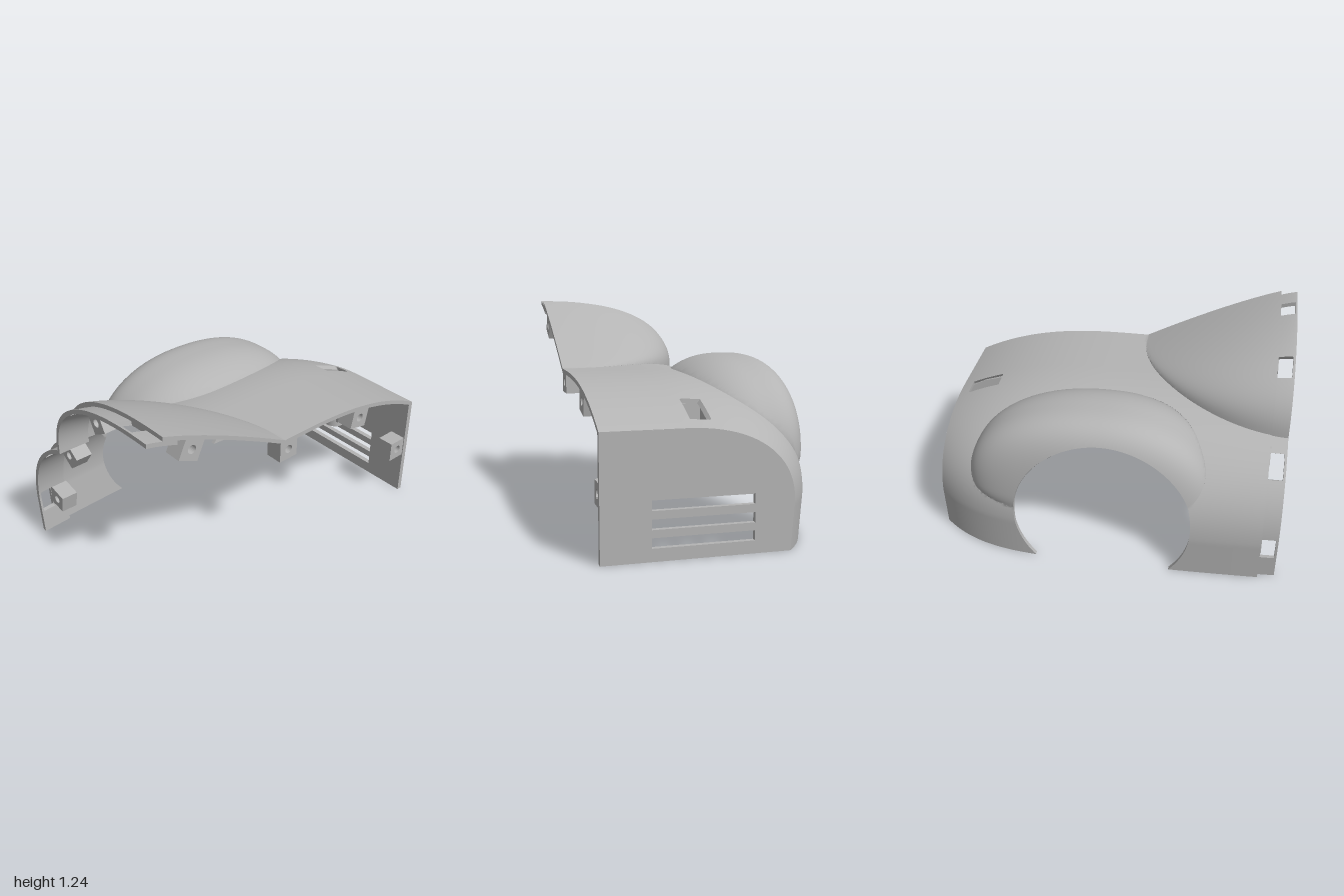
import * as THREE from 'three';
import { toCreasedNormals } from 'three/addons/utils/BufferGeometryUtils.js';

const DEG = Math.PI / 180, FRONT = 0.62, SKIN = 0.025;
const grey = new THREE.MeshStandardMaterial({ color: 0xb4b4b4, side: THREE.DoubleSide });
grey.name = 'light grey';
const pos = (v) => Math.max(0, v);

// Implicit solids (negative inside) whose union is the body.
function bodyField(x, y, z) {
  const top = x > 0 ? 0.86 - 0.2 * x ** 2.65 : 0.86 - 0.01 * x * x;
  let back = x > 0 ? 0.615 - 0.22 * x ** 4 : 0.615 - 0.03 * x * x;
  back -= 0.08 * pos(0.25 - y);
  return pos((0.2 - z) / (back + 0.2)) ** 2.3 + pos((y - 0.25) / (top - 0.25)) ** 2.3 - 1;
}
function hoodField(x, y, z) {
  const u = (x + 1) / 0.92, c = Math.min(pos(u), 0.999);
  const foot = 0.78 + 0.07 * c;
  const rise = Math.max(0.01, 0.85 + 0.41 * (1 - c ** 1.22) - foot);
  const length = 0.87 * Math.sqrt(1 - c * c);
  return pos((FRONT - z) / length) ** 2.4 + pos((y - foot) / rise) ** 2.4 - 1 + 1000 * pos(u - 1);
}
function fenderField(x, y, z) {
  const ahead = z > -0.33, e = ahead ? 2.2 : 3.5;
  const xn = Math.abs(x - 0.03) / (x > 0.03 ? 0.77 : 0.645);
  const yn = Math.abs(y - 0.45) / (y > 0.45 ? 0.49 : 0.25);
  const zn = Math.abs(z + 0.33) / (ahead ? 0.45 : 0.295);
  return ((xn ** 2.2 + yn ** 2.2) ** (e / 2.2) + zn ** e) ** (1 / e) - 1;
}
const solids = [bodyField, hoodField, fenderField];

// Point at angle t and radius r around the front bottom edge.
const place = (x, t, r) => [x, r * Math.sin(t), FRONT - r * Math.cos(t)];

// Outermost radius of a solid along a ray (nearest approach when missed).
function reach(field, x, t) {
  const at = (r) => field(...place(x, t, r));
  let best = 1e9, bestR = 0.3;
  for (let r = 1.6; r > 0.3; r -= 0.012) {
    const f = at(r);
    if (f < 0) {
      let lo = r, hi = r + 0.012;
      for (let k = 0; k < 18; k++) {
        const m = (lo + hi) / 2;
        if (at(m) < 0) lo = m; else hi = m;
      }
      return { r: lo, f: 0 };
    }
    if (f < best) { best = f; bestR = r; }
  }
  return { r: bestR, f: best };
}

// Cuts a polygon, keeping the side where value k is positive.
function clip(poly, k) {
  const out = [];
  poly.forEach((a, i) => {
    const b = poly[(i + 1) % poly.length], fa = a[k], fb = b[k];
    if (fa >= 0) out.push(a);
    if ((fa >= 0) !== (fb >= 0)) {
      const s = fa / (fa - fb);
      out.push(a.map((v, n) => v + (b[n] - v) * s));
    }
  });
  return out;
}

// Thick skin over the union of solids, trimmed by hole functions.
function shell(x0, x1, nx, nt, inset, holes) {
  const data = [], edges = new Map();
  const outer = (v) => place(v[0], v[1], v[2] - inset);
  const inner = (v) => place(v[0], v[1], v[2] - inset - SKIN);
  const key = (v) => outer(v).map((n) => Math.round(n * 1e5)).join();
  const tri = (...p) => p.forEach((q) => data.push(...q));
  solids.forEach((field, s) => {
    const others = solids.filter((_, n) => n !== s);
    const grid = [];
    for (let i = 0; i <= nx; i++) for (let j = 0; j <= nt; j++) {
      const x = x0 + (x1 - x0) * i / nx, t = Math.PI / 2 * j / nt;
      const { r, f } = reach(field, x, t), p = place(x, t, r);
      const v = [x, t, r, ...others.map((g) => g(...p)), ...holes.map((h) => h(...p, t))];
      v.miss = f > 0.02;
      grid.push(v);
    }
    const face = (...corners) => {
      if (corners.some((v) => v.miss)) return;
      let poly = corners;
      for (let k = 3; k < corners[0].length && poly.length; k++) poly = clip(poly, k);
      for (let n = 1; n + 1 < poly.length; n++) {
        const [a, b, c] = [poly[0], poly[n], poly[n + 1]];
        tri(outer(a), outer(b), outer(c));
        tri(inner(a), inner(c), inner(b));
      }
      poly.forEach((a, n) => {
        const b = poly[(n + 1) % poly.length], ka = key(a), kb = key(b);
        if (ka === kb) return;
        if (!edges.delete(kb + '|' + ka)) edges.set(ka + '|' + kb, [a, b]);
      });
    };
    for (let i = 0; i < nx; i++) for (let j = 0; j < nt; j++) {
      const a = grid[i * (nt + 1) + j], b = grid[i * (nt + 1) + j + 1];
      const c = grid[(i + 1) * (nt + 1) + j], d = grid[(i + 1) * (nt + 1) + j + 1];
      face(a, b, c);
      face(b, d, c);
    }
  });
  // Rim walls along every open edge.
  for (const [a, b] of edges.values()) {
    tri(outer(b), outer(a), inner(a));
    tri(outer(b), inner(a), inner(b));
  }
  const geo = new THREE.BufferGeometry();
  geo.setAttribute('position', new THREE.Float32BufferAttribute(data, 3));
  return toCreasedNormals(geo, 0.55);
}

const rectPath = (x0, y0, x1, y1, Kind = THREE.Path) => new Kind(
  [[x0, y0], [x1, y0], [x1, y1], [x0, y1]].map((p) => new THREE.Vector2(...p)));

// Square block with a screw hole through its depth.
function drilledBlock(w, h, depth, radius) {
  const shape = rectPath(-w / 2, -h / 2, w / 2, h / 2, THREE.Shape);
  shape.holes.push(new THREE.Path().absarc(0, 0, radius, 0, Math.PI * 2, true));
  return new THREE.ExtrudeGeometry(shape, { depth, bevelEnabled: false, curveSegments: 12 });
}

export function createModel() {
  const model = new THREE.Group();
  const add = (name, geo, x = 0, y = 0, z = 0) => {
    const mesh = new THREE.Mesh(geo, grey);
    mesh.name = name;
    mesh.position.set(x, y, z);
    model.add(mesh);
    return mesh;
  };

  // Main skin with wheel opening and pocket opening
  const wheelHole = (x, y) => x * x + (y - 0.32) ** 2 - 0.507 ** 2;
  const pocketHole = (x, y, z) => Math.max(Math.abs(x - 0.835) - 0.098, Math.abs(z - 0.09) - 0.056);
  add('bodyShell', shell(-0.905, 0.999, 160, 120, 0, [wheelHole, pocketHole]));

  // Stepped joining flange with slots
  const slots = [[7, 13.5], [30, 37], [56, 62], [78, 84]].map(([a, b]) => (x, y, z, t) =>
    Math.max(Math.abs(x + 0.945) - 0.042, Math.abs(t / DEG - (a + b) / 2) / 57 - (b - a) / 114));
  add('joinFlange', shell(-1, -0.82, 26, 150, SKIN, slots));

  // Flat side panel with three vents
  const outline = [new THREE.Vector2(-FRONT, 0)];
  for (let j = 0; j <= 60; j++) {
    const t = Math.PI / 2 * j / 60;
    const [, y, z] = place(1, t, reach(bodyField, 1, t).r - 0.002);
    outline.push(new THREE.Vector2(-z, y));
  }
  const side = new THREE.Shape(outline);
  for (const y of [0.068, 0.162, 0.258]) side.holes.push(rectPath(-0.36, y, 0.18, y + 0.053));
  add('ventedSidePanel',
    new THREE.ExtrudeGeometry(side, { depth: 0.03, bevelEnabled: false }).rotateY(Math.PI / 2), 0.97);

  // Recessed pocket with drilled floor, reaching to the side panel
  add('pocketFloor', drilledBlock(0.27, 0.13, 0.02, 0.025).rotateX(-Math.PI / 2), 0.835, 0.52, 0.09);
  add('pocketEndWall', new THREE.BoxGeometry(0.012, 0.225, 0.13), 0.731, 0.633, 0.09);
  const wall = new THREE.Shape([[0.73, 0], [0.97, 0], [0.97, 0.13], [0.85, 0.195], [0.73, 0.23]]
    .map((p) => new THREE.Vector2(...p)));
  for (const s of [-1, 1]) {
    add('pocketSideWall', new THREE.ExtrudeGeometry(wall, { depth: 0.012, bevelEnabled: false }),
      0, 0.52, 0.084 + s * 0.062);
  }

  // Round post under the top
  add('post', new THREE.CylinderGeometry(0.065, 0.065, 0.26, 28), 0.69, 0.61, 0.27);
  add('postClip', new THREE.BoxGeometry(0.08, 0.04, 0.02), 0.69, 0.535, 0.33);

  // Mounting blocks along the front edge
  for (const [x, y, turn] of [[-0.73, 1.083, -25], [-0.063, 0.785, 0], [0.515, 0.745, -12], [0.915, 0.34, 0]]) {
    add('frontMount', drilledBlock(0.125, 0.125, 0.1, 0.025), x, y, 0.515).rotation.z = turn * DEG;
  }

  // Mounting blocks along the flange
  for (const deg of [11, 36, 61]) {
    const t = deg * DEG;
    const r = Math.max(...solids.slice(0, 2).map((f) => reach(f, -0.86, t).r)) - 0.105;
    const block = drilledBlock(0.11, 0.12, 0.1, 0.024).rotateY(Math.PI / 2);
    add('flangeMount', block, ...place(-0.91, t, r)).rotation.x = t - Math.PI / 2;
  }
  return model;
}
